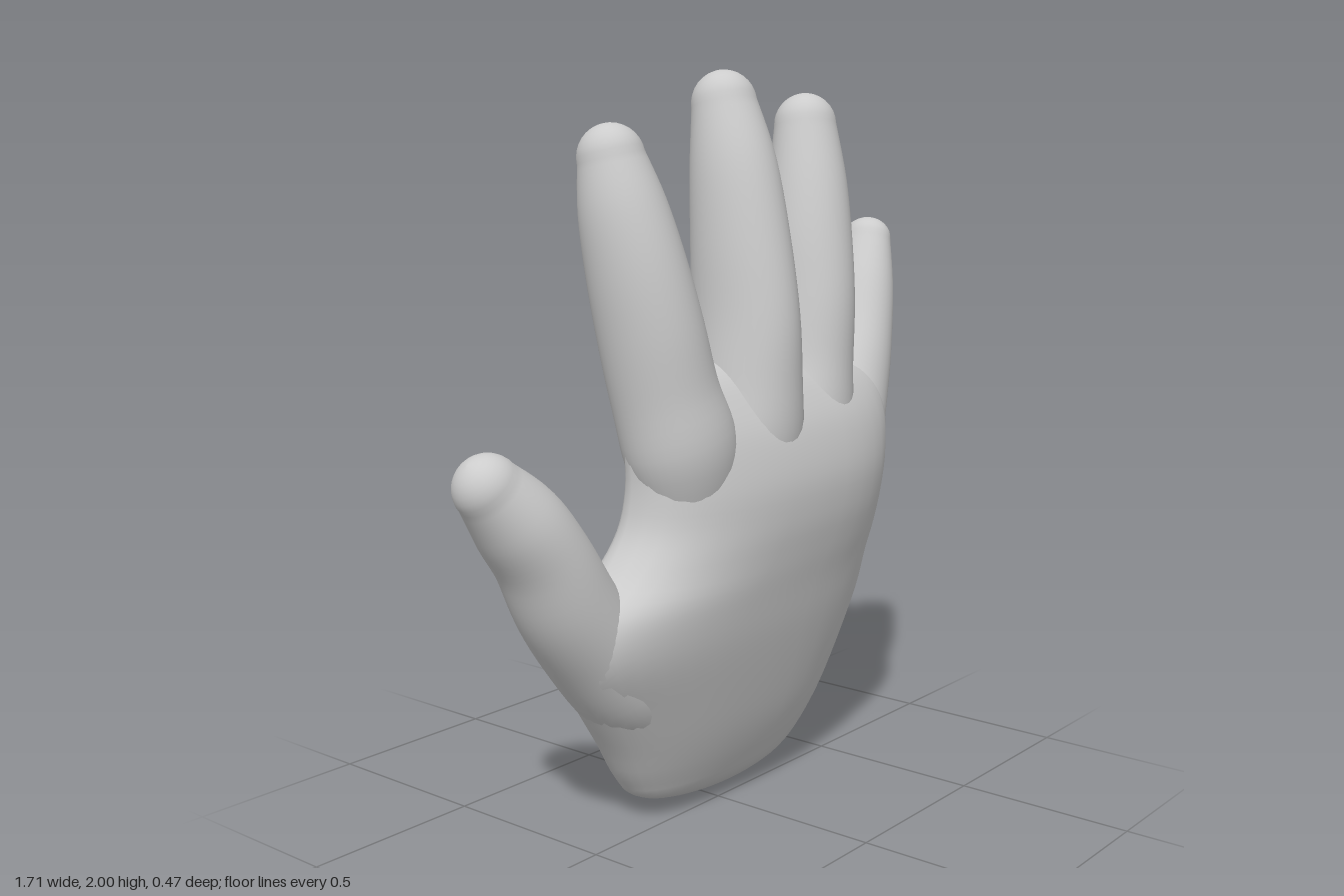
import * as THREE from 'three';

const SIDES = 36;
const material = new THREE.MeshStandardMaterial({ color: 0xcccccc, roughness: 0.8 });

// Catmull-Rom sample of a table of rows, every column at once
function sample(rows, t) {
  const f = t * (rows.length - 1);
  const i = Math.min(Math.floor(f), rows.length - 2);
  const k = f - i;
  const at = (n) => rows[Math.max(0, Math.min(rows.length - 1, n))];
  return rows[i].map((b, c) => {
    const a = at(i - 1)[c], d = at(i + 1)[c], e = at(i + 2)[c];
    return b + 0.5 * k * (d - a + k * (2 * a - 5 * b + 4 * d - e + k * (3 * (b - d) + e - a)));
  });
}

// Skins a list of rings (each a function angle -> point) into a smooth closed surface
function skin(name, rings) {
  const positions = [], index = [];
  rings.forEach((ring, j) => {
    for (let i = 0; i < SIDES; i++) {
      positions.push(...ring((i / SIDES) * Math.PI * 2));
      if (j === rings.length - 1) continue;
      const a = j * SIDES + i, b = j * SIDES + (i + 1) % SIDES;
      index.push(a, a + SIDES, b, b, a + SIDES, b + SIDES);
    }
  });
  const geometry = new THREE.BufferGeometry();
  geometry.setAttribute('position', new THREE.Float32BufferAttribute(positions, 3));
  geometry.setIndex(index);
  geometry.computeVertexNormals();
  const mesh = new THREE.Mesh(geometry, material);
  mesh.name = name;
  return mesh;
}

// Finger stations: x, y, z, half width, half depth; ends in a rounded tip
function finger(name, rows) {
  const rings = [];
  const addRing = (c, u, v, w, d) => rings.push((a) => {
    const p = c.clone().addScaledVector(u, w * Math.cos(a)).addScaledVector(v, d * Math.sin(a));
    return [p.x, p.y, p.z];
  });
  const steps = (rows.length - 1) * 5;
  for (let j = 0; j <= steps; j++) {
    const t = j / steps;
    const [x, y, z, w, d] = sample(rows, t);
    const from = sample(rows, Math.max(0, t - 0.02)), to = sample(rows, Math.min(1, t + 0.02));
    const dir = new THREE.Vector3(to[0] - from[0], to[1] - from[1], to[2] - from[2]).normalize();
    const u = new THREE.Vector3(dir.y, -dir.x, 0).normalize();
    const v = u.clone().cross(dir);
    const c = new THREE.Vector3(x, y, z);
    if (j === 0) addRing(c, u, v, 0, 0);
    addRing(c, u, v, w, d);
    if (j === steps) {
      for (let k = 1; k <= 8; k++) {
        const a = (k / 8) * Math.PI / 2, s = Math.cos(a);
        addRing(c.clone().addScaledVector(dir, w * Math.sin(a)), u, v, w * s, d * s);
      }
    }
  }
  return skin(name, rings);
}

// Palm stations: y, right edge x, left edge x, edge z, front z, back z
function palm() {
  const rows = [
    [0.0, 0.09, 0.11, -0.09, -0.09, -0.09],
    [0.006, 0.0, 0.2, -0.09, -0.05, -0.14],
    [0.05, -0.23, 0.34, -0.08, 0.01, -0.19],
    [0.11, -0.3, 0.425, -0.08, 0.045, -0.215],
    [0.22, -0.37, 0.5, -0.07, 0.09, -0.23],
    [0.35, -0.46, 0.565, -0.06, 0.13, -0.235],
    [0.5, -0.56, 0.625, -0.045, 0.17, -0.215],
    [0.62, -0.55, 0.645, -0.03, 0.195, -0.185],
    [0.72, -0.44, 0.66, -0.02, 0.215, -0.155],
    [0.82, -0.37, 0.67, -0.01, 0.23, -0.13],
    [0.93, -0.35, 0.685, 0.0, 0.23, -0.115],
    [1.05, -0.355, 0.7, 0.0, 0.2, -0.105],
    [1.14, -0.35, 0.66, 0.0, 0.15, -0.095],
    [1.2, -0.3, 0.48, 0.01, 0.1, -0.075],
    [1.235, -0.2, 0.28, 0.015, 0.05, -0.03],
    [1.24, 0.0, 0.01, 0.015, 0.015, 0.015],
  ];
  const power = (s) => Math.sign(s) * Math.abs(s) ** 0.84;
  const rings = [];
  const steps = (rows.length - 1) * 4;
  for (let j = 0; j <= steps; j++) {
    const [y, x0, x1, edge, front, back] = sample(rows, j / steps);
    rings.push((a) => {
      const s = power(Math.sin(a));
      return [
        (x0 + x1) / 2 + (x1 - x0) / 2 * power(Math.cos(a)),
        Math.max(0, y),
        edge + (s > 0 ? front - edge : edge - back) * s,
      ];
    });
  }
  return skin('palm', rings);
}

export function createModel() {
  const hand = new THREE.Group();
  hand.name = 'hand';
  hand.add(
    palm(),
    finger('thumb', [
      [-0.25, 0.3, -0.05, 0.1, 0.11], [-0.34, 0.4, -0.055, 0.125, 0.14],
      [-0.44, 0.53, -0.06, 0.13, 0.145], [-0.535, 0.665, -0.06, 0.13, 0.14],
      [-0.61, 0.8, -0.065, 0.118, 0.133], [-0.685, 0.905, -0.075, 0.112, 0.12],
      [-0.765, 0.995, -0.085, 0.087, 0.085],
    ]),
    finger('indexFinger', [
      [-0.17, 0.85, 0.05, 0.12, 0.1], [-0.205, 1.02, 0.045, 0.155, 0.145],
      [-0.25, 1.18, 0.025, 0.138, 0.145], [-0.285, 1.34, 0.01, 0.13, 0.145],
      [-0.315, 1.5, -0.01, 0.122, 0.135], [-0.337, 1.65, -0.035, 0.11, 0.115],
      [-0.35, 1.77, -0.058, 0.086, 0.087],
    ]),
    finger('middleFinger', [
      [0.06, 0.85, 0.06, 0.12, 0.11], [0.06, 1.02, 0.055, 0.15, 0.15],
      [0.062, 1.18, 0.05, 0.135, 0.158], [0.064, 1.35, 0.042, 0.121, 0.16],
      [0.066, 1.55, 0.022, 0.117, 0.145], [0.07, 1.75, -0.006, 0.109, 0.122],
      [0.075, 1.91, -0.04, 0.089, 0.088],
    ]),
    finger('ringFinger', [
      [0.31, 0.85, 0.04, 0.12, 0.11], [0.335, 1.02, 0.035, 0.15, 0.14],
      [0.36, 1.2, 0.025, 0.128, 0.142], [0.378, 1.37, 0.02, 0.12, 0.14],
      [0.396, 1.54, 0.005, 0.118, 0.13], [0.416, 1.7, -0.012, 0.108, 0.113],
      [0.434, 1.86, -0.035, 0.088, 0.088],
    ]),
    finger('littleFinger', [
      [0.49, 0.75, 0.01, 0.12, 0.1], [0.56, 0.95, 0.01, 0.135, 0.12],
      [0.64, 1.13, -0.005, 0.117, 0.112], [0.7, 1.27, -0.025, 0.1, 0.105],
      [0.75, 1.4, -0.046, 0.088, 0.096], [0.796, 1.525, -0.063, 0.065, 0.075],
    ]),
  );
  return hand;
}
